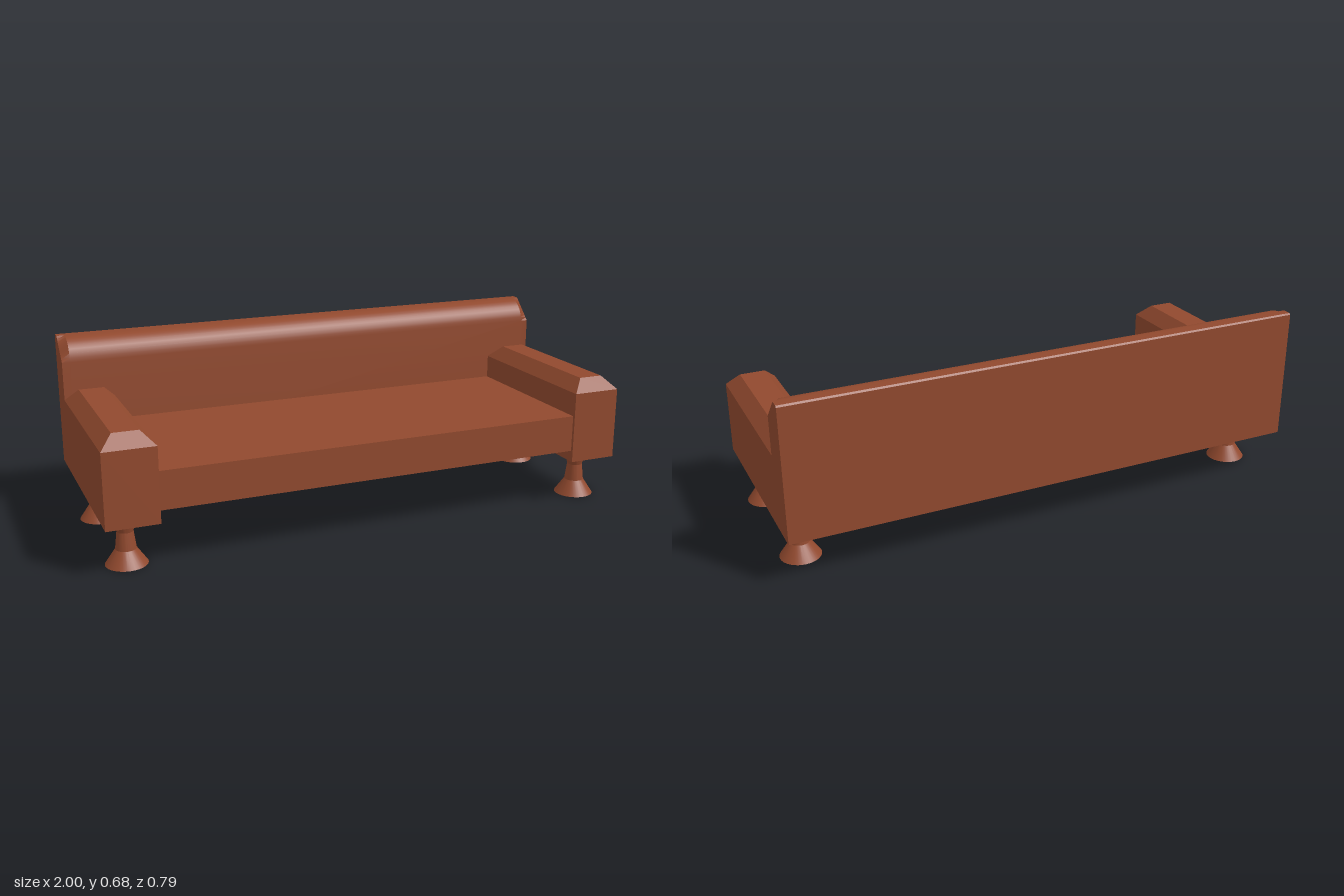
import * as THREE from 'three';
import { toCreasedNormals } from 'three/addons/utils/BufferGeometryUtils.js';

// Skin a stack of equal-length loops (clockwise seen from the last one) and cap both ends.
function loft(sections) {
  const n = sections[0].length, last = (sections.length - 1) * n, index = [];
  for (let i = 0; i < sections.length - 1; i++) {
    for (let j = 0; j < n; j++) {
      const k = (j + 1) % n;
      const a = i * n + j, b = i * n + k, c = b + n, d = a + n;
      index.push(a, d, c, a, c, b);
    }
  }
  for (let j = 1; j < n - 1; j++) {
    index.push(0, j, j + 1, last, last + j + 1, last + j);
  }
  const geometry = new THREE.BufferGeometry();
  geometry.setAttribute('position', new THREE.Float32BufferAttribute(sections.flat(2), 3));
  geometry.setIndex(index);
  return toCreasedNormals(geometry, 0.45);
}

export function createModel() {
  const sofa = new THREE.Group();
  sofa.name = 'sofa';
  const material = new THREE.MeshStandardMaterial({ color: 0x91492e });

  const add = (name, geometry, x = 0, y = 0, z = 0) => {
    const mesh = new THREE.Mesh(geometry, material);
    mesh.name = name;
    mesh.position.set(x, y, z);
    sofa.add(mesh);
  };

  // Seat slab, its underside a little higher than the arms
  add('seat', new THREE.BoxGeometry(1.64, 0.14, 0.7), 0, 0.288, 0.037);

  // Backrest: rounded front top edge that flattens to a chamfer at both ends
  const backSection = (x, round) => {
    const points = [[x, 0.175, -0.27]];
    const steps = 8;
    for (let i = 0; i <= steps; i++) {
      const t = i / steps, a = t * Math.PI / 2;
      const y = THREE.MathUtils.lerp(0.592 + 0.085 * t, 0.592 + 0.085 * Math.sin(a), round);
      const z = THREE.MathUtils.lerp(-0.27 - 0.087 * t, -0.357 + 0.087 * Math.cos(a), round);
      points.push([x, y, z]);
    }
    points.push([x, 0.677, -0.391], [x, 0.671, -0.396], [x, 0.175, -0.396]);
    return points;
  };
  add('backrest', loft([
    backSection(-1, 0), backSection(-0.97, 1), backSection(0.97, 1), backSection(1, 0),
  ]));

  // Arms: blocks with a chamfer all round the top
  const rectangle = (y, inset) => {
    const x = 0.094 - inset, back = -0.272 + inset, front = 0.398 - inset;
    return [[-x, y, back], [x, y, back], [x, y, front], [-x, y, front]];
  };
  const armGeometry = loft([rectangle(0.175, 0), rectangle(0.449, 0), rectangle(0.497, 0.047)]);

  // Turned legs with a flared foot
  const legProfile = [[0, 0], [0.075, 0], [0.037, 0.056], [0.029, 0.12], [0.044, 0.175], [0, 0.175]];
  const legGeometry = toCreasedNormals(
    new THREE.LatheGeometry(legProfile.map(([r, y]) => new THREE.Vector2(r, y)), 32), 0.25);

  for (const [side, label] of [[1, 'left'], [-1, 'right']]) {
    add(label + 'Arm', armGeometry, side * 0.906);
    add(label + 'FrontLeg', legGeometry, side * 0.911, 0, 0.275);
    add(label + 'BackLeg', legGeometry, side * 0.911, 0, -0.183);
  }
  return sofa;
}
